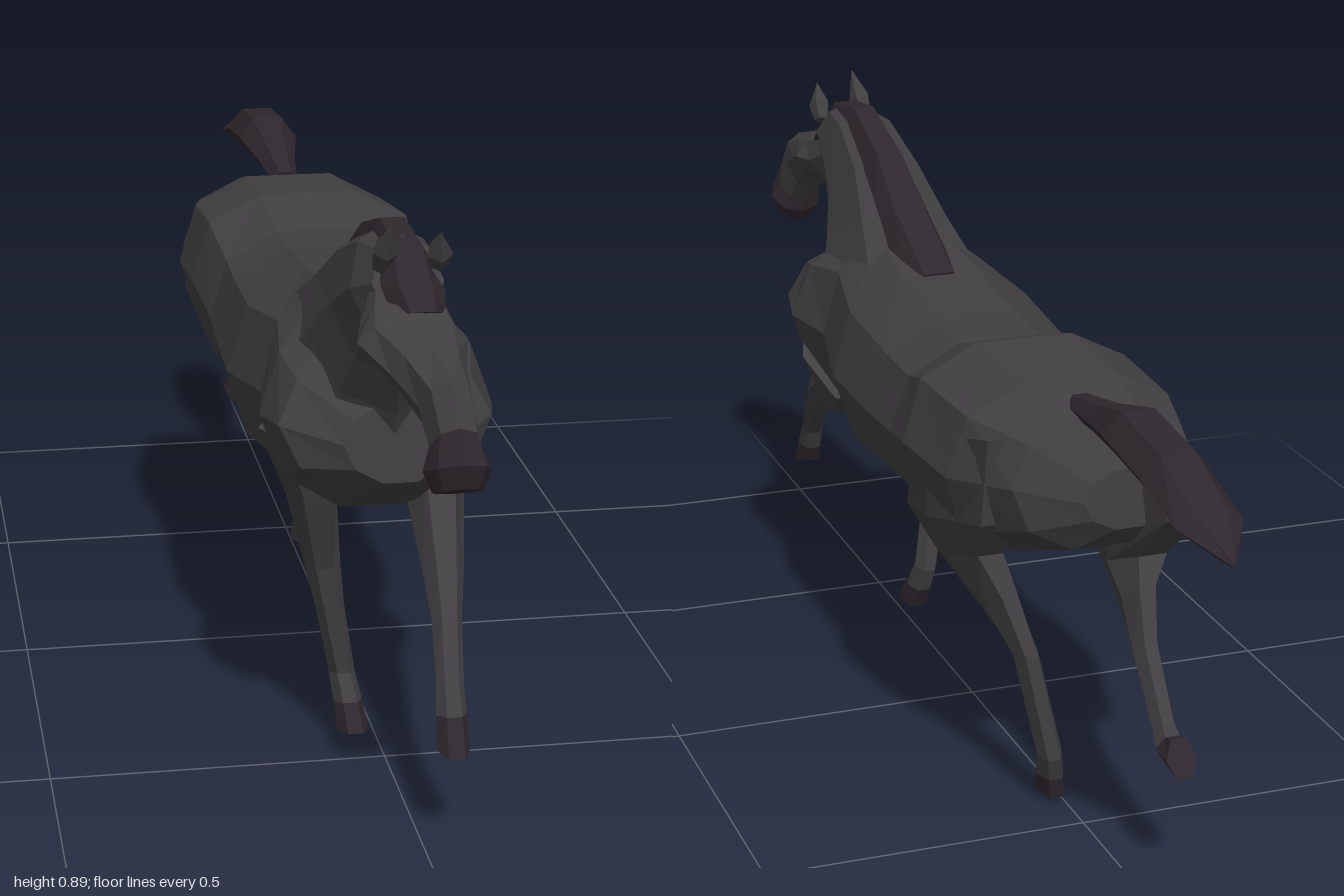
import * as THREE from 'three';

const coat = new THREE.MeshStandardMaterial({ color: 0x403e40, flatShading: true });
const hair = new THREE.MeshStandardMaterial({ color: 0x2e272d, flatShading: true });

// Closed loft. Each section: [z1, y1, z2, y2, halfWidth, centreX, power],
// where (z1, y1) and (z2, y2) are its upper/front and lower/back edge in profile
// and a power under 1 makes it squarer.
function loft(name, sections, sides, material) {
  const pos = [], index = [];
  const angles = Array.from({ length: sides }, (_, j) => (j / sides) * Math.PI * 2);
  for (const [z1, y1, z2, y2, w, cx, power = 1] of sections) {
    const curve = v => Math.sign(v) * Math.abs(v) ** power;
    const peak = Math.max(...angles.map(a => curve(Math.sin(a))));
    for (const a of angles) {
      const s = curve(Math.sin(a)) / peak / 2;
      pos.push(cx + w * curve(Math.cos(a)), (y1 + y2) / 2 + (y1 - y2) * s, (z1 + z2) / 2 + (z1 - z2) * s);
    }
  }
  const last = sections.length - 1;
  for (let i = 0; i < last; i++) {
    for (let j = 0; j < sides; j++) {
      const a = i * sides + j, b = i * sides + (j + 1) % sides;
      index.push(a, b, b + sides, a, b + sides, a + sides);
    }
  }
  for (let j = 1; j < sides - 1; j++) {
    const e = last * sides;
    index.push(0, j + 1, j, e, e + j, e + j + 1);
  }
  const geometry = new THREE.BufferGeometry();
  geometry.setAttribute('position', new THREE.Float32BufferAttribute(pos, 3));
  geometry.setIndex(index);
  geometry.computeVertexNormals();
  const mesh = new THREE.Mesh(geometry, material);
  mesh.name = name;
  return mesh;
}

// Leg with a dark hoof made from its last two sections
function leg(name, sections) {
  const group = new THREE.Group();
  group.name = name;
  group.add(
    loft('limb', sections.slice(0, -1), 6, coat),
    loft('hoof', sections.slice(-2), 6, hair)
  );
  return group;
}

// Leaf-shaped ear
function ear(name, base, tip) {
  const from = new THREE.Vector3(...base), dir = new THREE.Vector3(...tip).sub(from);
  const h = dir.length();
  const profile = [[0, 0], [0.012, 0], [0.019, h * 0.4], [0, h]].map(p => new THREE.Vector2(...p));
  const mesh = new THREE.Mesh(new THREE.LatheGeometry(profile, 5), coat);
  mesh.name = name;
  mesh.position.copy(from);
  mesh.quaternion.setFromUnitVectors(new THREE.Vector3(0, 1, 0), dir.normalize());
  return mesh;
}

export function createModel() {
  const horse = new THREE.Group();
  horse.name = 'gallopingHorse';

  // Trunk, from rump to chest
  horse.add(loft('body', [
    [-0.535, 0.58, -0.54, 0.49, 0.07, -0.05],
    [-0.49, 0.655, -0.5, 0.45, 0.145, -0.03, 0.9],
    [-0.4, 0.68, -0.36, 0.4, 0.188, -0.01, 0.8],
    [-0.23, 0.69, -0.24, 0.405, 0.195, 0, 0.78],
    [-0.12, 0.655, -0.1, 0.385, 0.178, -0.003, 0.85],
    [0, 0.66, 0, 0.37, 0.18, -0.005, 0.9],
    [0.19, 0.68, 0.17, 0.355, 0.184, -0.007, 0.9],
    [0.34, 0.7, 0.36, 0.37, 0.152, -0.01, 0.9],
    [0.44, 0.68, 0.48, 0.395, 0.172, -0.008, 0.95],
    [0.52, 0.645, 0.575, 0.45, 0.155, -0.01],
    [0.6, 0.59, 0.613, 0.475, 0.08, 0]
  ], 10, coat));

  // Neck, from withers and chest up to the poll
  horse.add(loft('neck', [
    [0.17, 0.665, 0.585, 0.5, 0.14, -0.006],
    [0.32, 0.74, 0.62, 0.58, 0.105, -0.008],
    [0.44, 0.805, 0.66, 0.645, 0.08, -0.012],
    [0.58, 0.85, 0.71, 0.7, 0.065, -0.014],
    [0.66, 0.85, 0.74, 0.74, 0.05, -0.008]
  ], 8, coat));

  // Head, from poll to nose
  horse.add(loft('head', [
    [0.68, 0.84, 0.62, 0.69, 0.052, -0.008],
    [0.73, 0.785, 0.7, 0.69, 0.066, -0.012],
    [0.78, 0.765, 0.755, 0.7, 0.076, -0.014],
    [0.86, 0.752, 0.82, 0.668, 0.052, -0.006],
    [0.945, 0.728, 0.865, 0.64, 0.036, 0.004],
    [0.975, 0.675, 0.9, 0.605, 0.034, 0.01]
  ], 8, coat));
  horse.add(loft('muzzle', [
    [0.975, 0.675, 0.9, 0.605, 0.034, 0.01],
    [0.998, 0.632, 0.905, 0.588, 0.046, 0.011],
    [0.985, 0.595, 0.925, 0.568, 0.034, 0.011]
  ], 8, hair));
  horse.add(ear('leftEar', [0.036, 0.815, 0.69], [0.03, 0.872, 0.735]));
  horse.add(ear('rightEar', [-0.045, 0.815, 0.69], [-0.037, 0.888, 0.745]));

  // Mane with forelock
  horse.add(loft('mane', [
    [0.16, 0.68, 0.2, 0.62, 0.05, 0],
    [0.33, 0.75, 0.37, 0.67, 0.052, -0.004],
    [0.44, 0.813, 0.48, 0.74, 0.042, -0.006],
    [0.59, 0.858, 0.59, 0.79, 0.034, -0.01],
    [0.69, 0.845, 0.64, 0.78, 0.04, -0.008],
    [0.735, 0.8, 0.69, 0.765, 0.046, -0.004],
    [0.77, 0.772, 0.72, 0.75, 0.035, 0]
  ], 6, hair));

  // Tail, from tip to root
  horse.add(loft('tail', [
    [-1, 0.62, -1, 0.612, 0.004, -0.005],
    [-0.92, 0.665, -0.92, 0.622, 0.05, -0.005],
    [-0.81, 0.706, -0.8, 0.638, 0.052, -0.005],
    [-0.67, 0.72, -0.65, 0.652, 0.05, -0.005],
    [-0.56, 0.692, -0.55, 0.648, 0.032, -0.005],
    [-0.45, 0.672, -0.46, 0.642, 0.022, -0.005]
  ], 6, hair));

  // Forelegs: left one reaching, right one on the ground
  horse.add(leg('leftForeleg', [
    [0.52, 0.52, 0.34, 0.42, 0.06, 0.095],
    [0.5, 0.455, 0.41, 0.37, 0.045, 0.08],
    [0.64, 0.365, 0.6, 0.315, 0.03, 0.062],
    [0.7, 0.305, 0.665, 0.28, 0.022, 0.055],
    [0.765, 0.225, 0.735, 0.215, 0.02, 0.047],
    [0.795, 0.19, 0.75, 0.18, 0.022, 0.045],
    [0.825, 0.14, 0.77, 0.148, 0.024, 0.043]
  ]));
  horse.add(leg('rightForeleg', [
    [0.48, 0.5, 0.34, 0.5, 0.06, -0.115],
    [0.45, 0.4, 0.35, 0.385, 0.038, -0.095],
    [0.405, 0.27, 0.365, 0.265, 0.027, -0.075],
    [0.395, 0.2, 0.36, 0.2, 0.022, -0.063],
    [0.382, 0.09, 0.342, 0.08, 0.02, -0.042],
    [0.405, 0.05, 0.355, 0.04, 0.022, -0.036],
    [0.435, 0.012, 0.375, 0.002, 0.024, -0.032]
  ]));

  // Hind legs: left one under the body, right one trailing
  horse.add(leg('leftHindLeg', [
    [-0.13, 0.54, -0.46, 0.62, 0.07, 0.105],
    [-0.1, 0.395, -0.44, 0.48, 0.052, 0.118],
    [-0.2, 0.35, -0.385, 0.41, 0.04, 0.108],
    [-0.33, 0.295, -0.41, 0.345, 0.026, 0.085],
    [-0.385, 0.25, -0.44, 0.26, 0.02, 0.062],
    [-0.41, 0.1, -0.455, 0.09, 0.02, 0.03],
    [-0.388, 0.055, -0.44, 0.05, 0.022, 0.022],
    [-0.365, 0.022, -0.43, 0.014, 0.023, 0.016]
  ]));
  horse.add(leg('rightHindLeg', [
    [-0.2, 0.5, -0.5, 0.62, 0.08, -0.105],
    [-0.25, 0.42, -0.575, 0.56, 0.072, -0.115],
    [-0.3, 0.39, -0.595, 0.515, 0.058, -0.115],
    [-0.36, 0.365, -0.5, 0.425, 0.045, -0.105],
    [-0.45, 0.335, -0.53, 0.39, 0.026, -0.085],
    [-0.525, 0.285, -0.57, 0.315, 0.02, -0.075],
    [-0.635, 0.2, -0.66, 0.232, 0.018, -0.065],
    [-0.675, 0.185, -0.69, 0.222, 0.022, -0.06],
    [-0.745, 0.178, -0.715, 0.23, 0.024, -0.058]
  ]));

  return horse;
}
